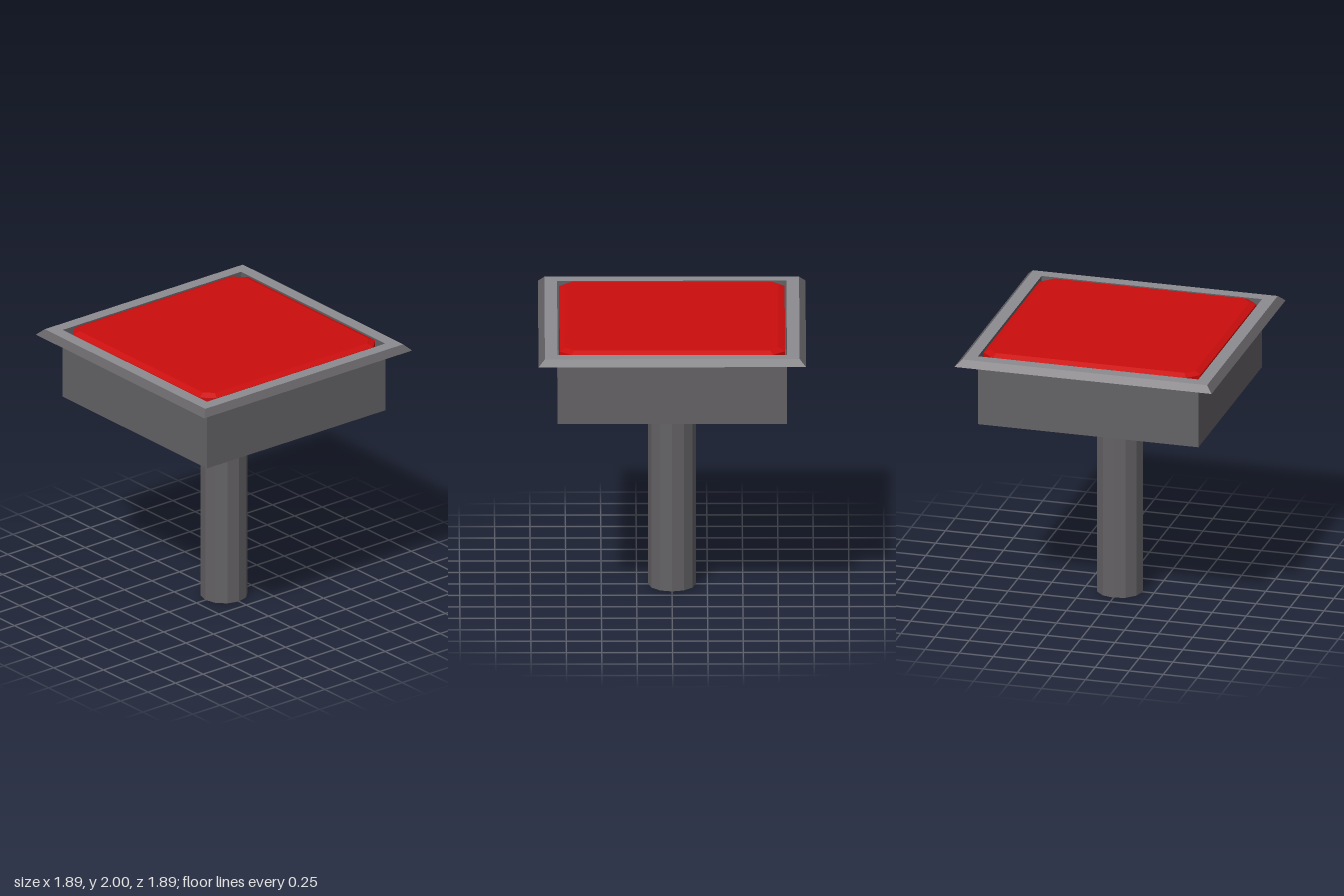
import * as THREE from 'three';

// Square ring of half-width r at height y; cut chamfers the corners
function ring(r, y, cut = 0) {
  const points = [];
  for (const [sx, sz, xFirst] of [[1, 1, false], [1, -1, true], [-1, -1, false], [-1, 1, true]]) {
    const a = new THREE.Vector3(sx * (r - cut), y, sz * r);
    const b = new THREE.Vector3(sx * r, y, sz * (r - cut));
    if (!cut) points.push(a);
    else points.push(...(xFirst ? [b, a] : [a, b]));
  }
  return points;
}

// Flat-faced skin through successive rings
function loft(rings) {
  const points = [];
  for (let k = 0; k < rings.length - 1; k++) {
    const lower = rings[k], upper = rings[k + 1], n = lower.length;
    for (let i = 0; i < n; i++) {
      const j = (i + 1) % n;
      points.push(lower[i], lower[j], upper[j], lower[i], upper[j], upper[i]);
    }
  }
  const geometry = new THREE.BufferGeometry().setFromPoints(points);
  geometry.computeVertexNormals();
  return geometry;
}

export function createModel() {
  const group = new THREE.Group();
  const material = (name, color, side = THREE.DoubleSide) => {
    const m = new THREE.MeshStandardMaterial({ color, side, flatShading: true });
    m.name = name;
    return m;
  };
  const darkGrey = material('dark grey', 0x636164);
  const lightGrey = material('light grey', 0x8b8b90);
  const red = material('red', 0xcc0d0d);

  const add = (name, geometry, mat) => {
    const mesh = new THREE.Mesh(geometry, mat);
    mesh.name = name;
    group.add(mesh);
  };

  // Open twelve-sided tube below the housing
  const stem = new THREE.CylinderGeometry(0.168, 0.168, 1.47, 12, 1, true);
  stem.translate(0, 0.735, 0);
  add('stem', stem, darkGrey);

  // Open-topped square housing
  add('housing', loft([ring(0, 1.47), ring(0.81, 1.47), ring(0.81, 1.985)]), darkGrey);

  // Thin flange: sloped skirt and flat top border
  add('flangeSkirt', loft([ring(0.945, 1.94), ring(0.9, 1.985)]), darkGrey);
  add('flangeTop', loft([ring(0.9, 1.985), ring(0.81, 1.985)]), lightGrey);

  // Push button with chamfered corners and bevelled top edge
  add('button', loft([
    ring(0.797, 1.75, 0.085),
    ring(0.797, 1.98, 0.085),
    ring(0.752, 2, 0.06),
    ring(0, 2, 1e-6),
  ]), red);

  return group;
}
